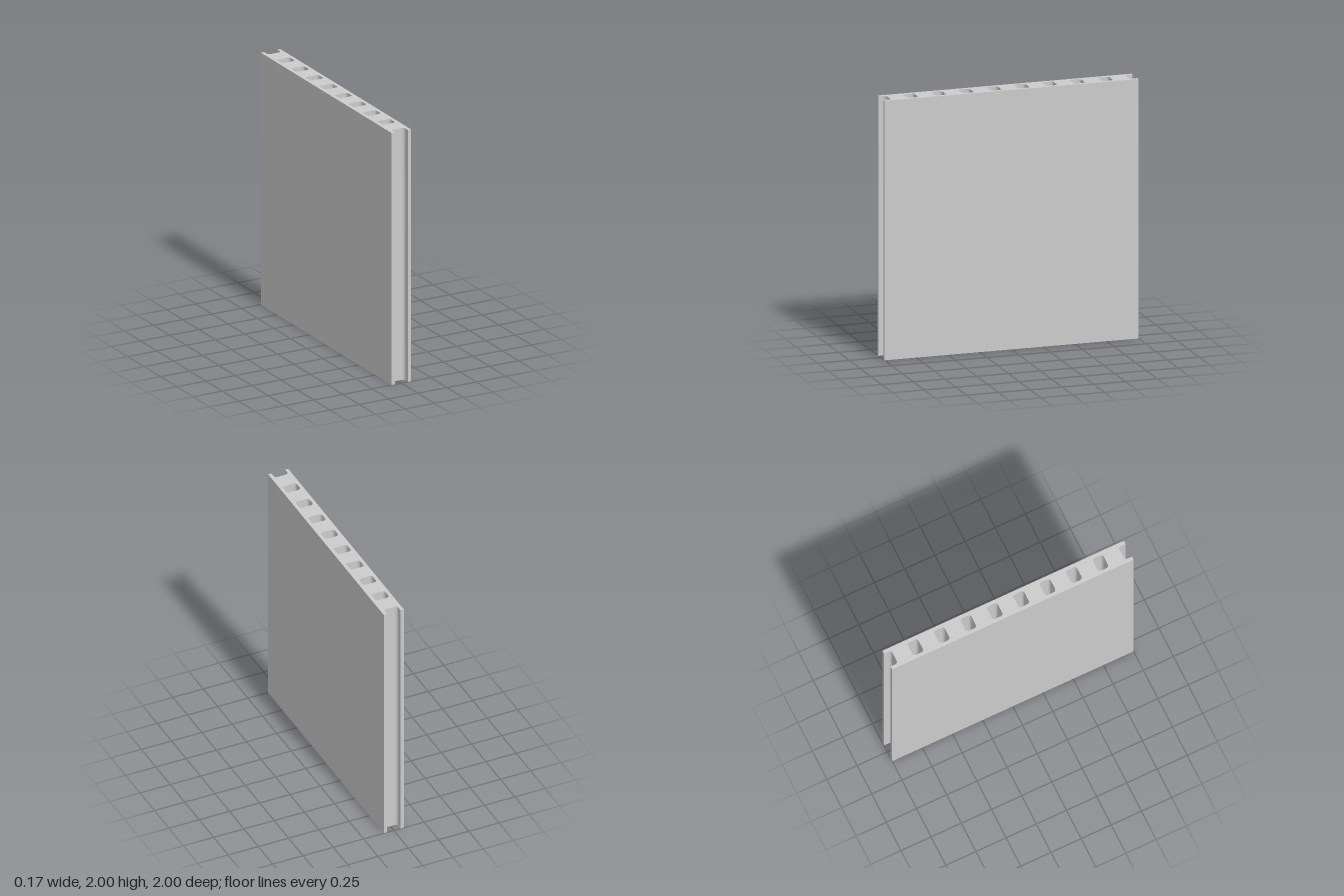
import * as THREE from 'three';
import { toCreasedNormals } from 'three/addons/utils/BufferGeometryUtils.js';

const HALF_THICK = 0.083, HALF_WIDTH = 1, HEIGHT = 2;
const CORE_X = 0.056, CORE_Z = 0.044, RADIUS = 0.022;
const PITCH = 0.219, CORES = 8, GROOVE = 0.94;

// Rounded rectangular core, centred at (0, z)
function corePath(z) {
  const p = new THREE.Path(), w = CORE_X, r = RADIUS, a = z - CORE_Z, b = z + CORE_Z;
  p.moveTo(-w + r, a);
  p.lineTo(w - r, a);
  p.absarc(w - r, a + r, r, -Math.PI / 2, 0);
  p.lineTo(w, b - r);
  p.absarc(w - r, b - r, r, 0, Math.PI / 2);
  p.lineTo(-w + r, b);
  p.absarc(-w + r, b - r, r, Math.PI / 2, Math.PI);
  p.lineTo(-w, a + r);
  p.absarc(-w + r, a + r, r, Math.PI, Math.PI * 1.5);
  return p;
}

// One grooved end of the outline; s = -1 or 1 turns it round to the other end
function grooveEnd(shape, s) {
  const w = CORE_X, r = RADIUS, turn = s > 0 ? Math.PI : 0;
  shape.lineTo(-s * HALF_THICK, -s * HALF_WIDTH);
  shape.lineTo(-s * w, -s * HALF_WIDTH);
  shape.lineTo(-s * w, -s * (GROOVE + r));
  shape.absarc(-s * (w - r), -s * (GROOVE + r), r, turn, turn - Math.PI / 2, true);
  shape.lineTo(s * (w - r), -s * GROOVE);
  shape.absarc(s * (w - r), -s * (GROOVE + r), r, turn - Math.PI / 2, turn - Math.PI, true);
  shape.lineTo(s * w, -s * HALF_WIDTH);
  shape.lineTo(s * HALF_THICK, -s * HALF_WIDTH);
}

export function createModel() {
  const group = new THREE.Group();
  group.name = 'hollowWallPanel';

  // Plan section: grooved ends and a row of through cores
  const section = new THREE.Shape();
  section.moveTo(-HALF_THICK, -HALF_WIDTH);
  grooveEnd(section, 1);
  grooveEnd(section, -1);
  section.closePath();
  for (let i = 0; i < CORES; i++) section.holes.push(corePath((i - (CORES - 1) / 2) * PITCH));

  // Section raised to full height
  const geometry = new THREE.ExtrudeGeometry(section, { depth: HEIGHT, bevelEnabled: false, curveSegments: 8 });
  geometry.rotateX(-Math.PI / 2);
  const panel = new THREE.Mesh(
    toCreasedNormals(geometry, 0.6),
    new THREE.MeshStandardMaterial({ color: 0xcccccc })
  );
  panel.name = 'panel';
  group.add(panel);
  return group;
}
